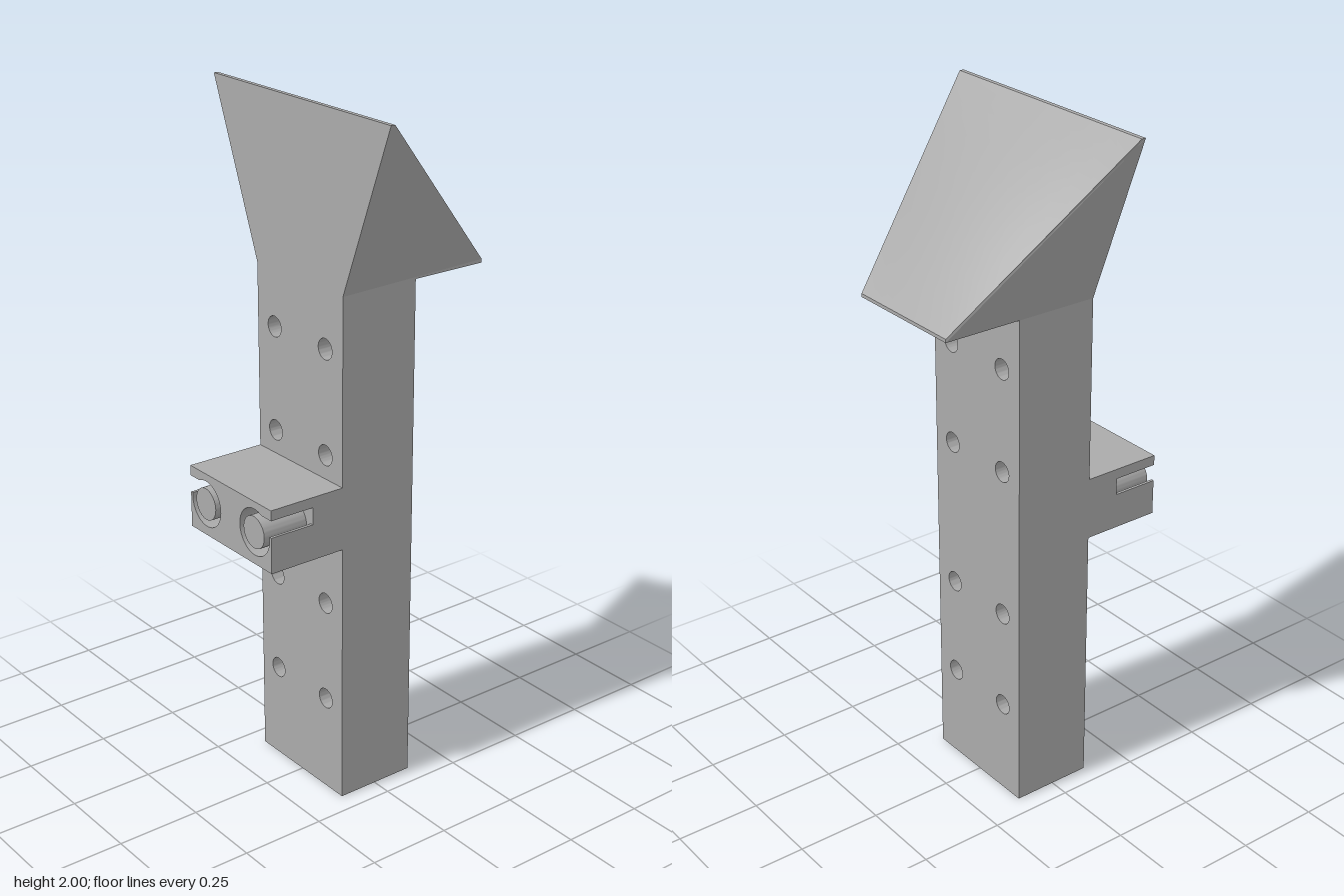
import * as THREE from 'three';
import { toCreasedNormals } from 'three/addons/utils/BufferGeometryUtils.js';

const grey = new THREE.MeshStandardMaterial({ color: 0xaaaaaa });
grey.name = 'plain grey';

// Extrude a (z, y) profile along x, from x0 to x1
function extrudeX(shape, x0, x1) {
  const g = new THREE.ExtrudeGeometry(shape, { depth: x1 - x0, bevelEnabled: false, curveSegments: 24 });
  g.rotateY(Math.PI / 2).translate(x0, 0, 0);
  return toCreasedNormals(g, 0.6);
}

function rectShape(halfWidth, y0, y1) {
  return new THREE.Shape([[-halfWidth, y0], [halfWidth, y0], [halfWidth, y1], [-halfWidth, y1]]
    .map(p => new THREE.Vector2(...p)));
}

function addMesh(group, name, geometry) {
  const mesh = new THREE.Mesh(geometry, grey);
  mesh.name = name;
  group.add(mesh);
}

// Flared wedge: sloping front, wide thin top edge, narrow base
function headGeometry() {
  const back = -0.12, toe = 0.358, topX = -0.107;
  const base = 1.515, lip = 1.525, top = 2, wb = 0.189, wt = 0.377;
  const pos = [];
  const face = (...p) => {
    for (let i = 1; i < p.length - 1; i++) pos.push(...p[0], ...p[i], ...p[i + 1]);
  };
  const side = s => [[back, base, s * wb], [toe, base, s * wb], [toe, lip, s * wb], [topX, top, s * wt], [back, top, s * wt]];
  const l = side(1), r = side(-1);
  face(...l);
  face(...r.slice().reverse());
  face(r[0], l[0], l[4], r[4]);
  face(r[0], r[1], l[1], l[0]);
  face(r[4], l[4], l[3], r[3]);
  face(l[1], r[1], r[2], l[2]);
  // slope with a very slight swell in the middle
  const n = 8;
  const point = (i, j) => {
    const u = 2 * i / n - 1, v = j / n;
    const swell = 0.012 * Math.sin(Math.PI * v) * (1 - u * u);
    return [toe + (topX - toe) * v + swell, lip + (top - lip) * v + swell, u * (wb + (wt - wb) * v)];
  };
  for (let i = 0; i < n; i++) for (let j = 0; j < n; j++) {
    face(point(i, j), point(i, j + 1), point(i + 1, j + 1), point(i + 1, j));
  }
  const g = new THREE.BufferGeometry();
  g.setAttribute('position', new THREE.Float32BufferAttribute(pos, 3));
  return toCreasedNormals(g, 0.3);
}

export function createModel() {
  const model = new THREE.Group();
  model.name = 'slottedPost';

  // Post with two columns of through holes
  const post = rectShape(0.189, 0, 1.515);
  for (const y of [0.29, 0.595, 1.045, 1.35]) for (const z of [-0.113, 0.113]) {
    post.holes.push(new THREE.Path().absarc(z, y, 0.03, 0, Math.PI * 2, true));
  }
  addMesh(model, 'post', extrudeX(post, -0.12, 0.125));
  addMesh(model, 'head', headGeometry());

  // Bracket: solid root, then an end with round sockets that open to the sides
  const w = 0.189, y0 = 0.79, y1 = 0.975;
  addMesh(model, 'bracketRoot', extrudeX(rectShape(w, y0, y1), -0.22, -0.12));
  const cz = 0.113, cy = 0.885, R = 0.068, low = 0.895, high = 0.945;
  const a = Math.asin((low - cy) / R), b = Math.asin((high - cy) / R);
  const end = new THREE.Shape();
  end.moveTo(-w, y0);
  end.lineTo(w, y0);
  end.lineTo(w, low);
  end.absarc(cz, cy, R, a, b, true);
  end.lineTo(w, high);
  end.lineTo(w, y1);
  end.lineTo(-w, y1);
  end.lineTo(-w, high);
  end.absarc(-cz, cy, R, Math.PI - b, Math.PI - a, true);
  end.lineTo(-w, low);
  addMesh(model, 'bracketEnd', extrudeX(end, -0.358, -0.22));

  // Round pins inside the sockets
  for (const s of [-1, 1]) {
    const pin = new THREE.Shape().absarc(s * cz, cy, 0.047, 0, Math.PI * 2, false);
    addMesh(model, s > 0 ? 'leftPin' : 'rightPin', extrudeX(pin, -0.36, -0.22));
  }
  return model;
}
